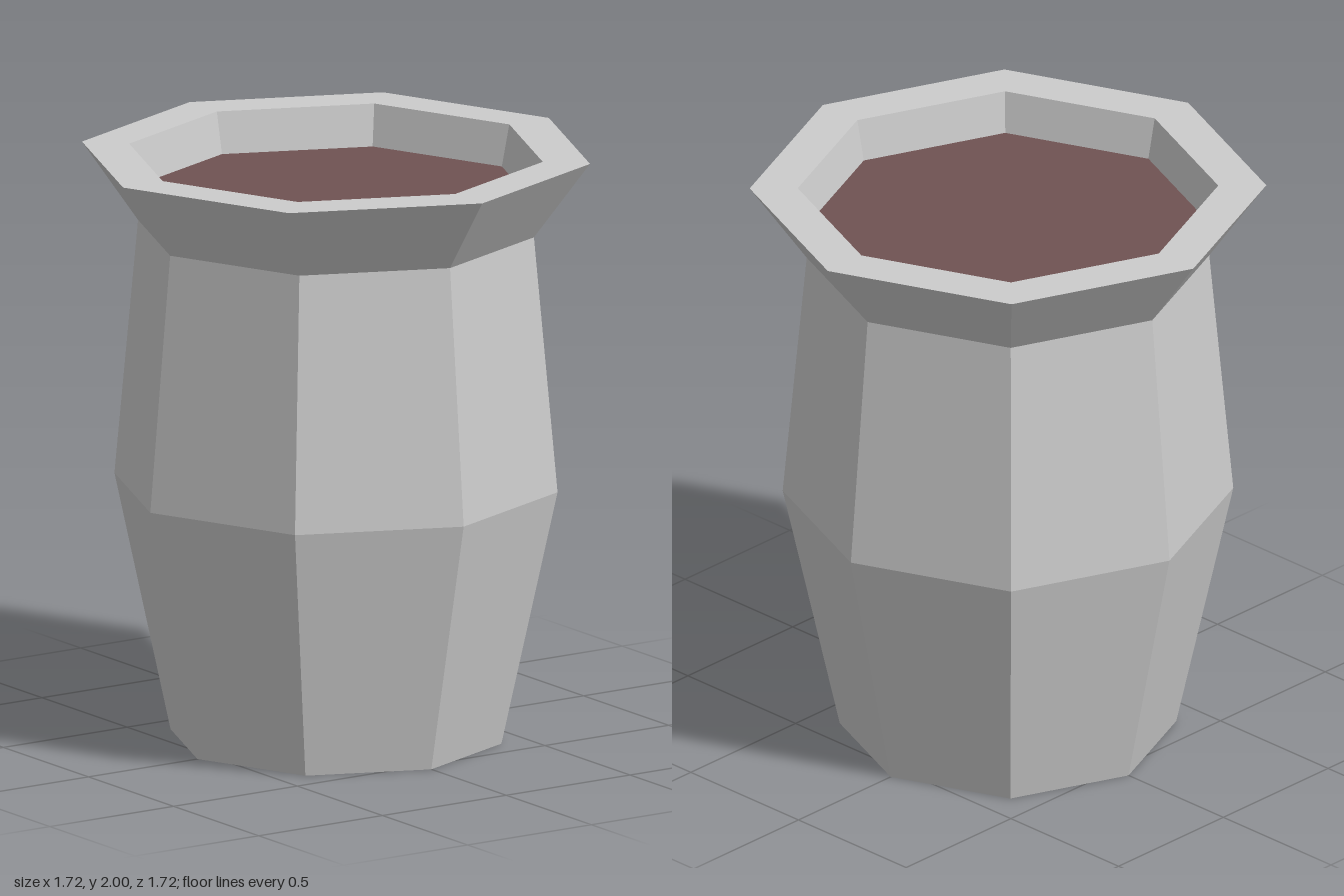
import * as THREE from 'three';

const SIDES = 8;

export function createModel() {
  const model = new THREE.Group();
  const clay = new THREE.MeshStandardMaterial({ color: 0xcccccc, flatShading: true });
  const dark = new THREE.MeshStandardMaterial({ color: 0x705353, flatShading: true });

  const add = (name, geometry, material) => {
    const mesh = new THREE.Mesh(geometry, material);
    mesh.name = name;
    model.add(mesh);
    return mesh;
  };
  const lathe = (profile) =>
    new THREE.LatheGeometry(profile.map(([r, y]) => new THREE.Vector2(r, y)), SIDES);

  // Closed base and bulging eight-sided wall
  add('body', lathe([[0, 0], [0.56, 0], [0.75, 0.87], [0.67, 1.74]]), clay);

  // Flared collar, flat lip and inner wall down to the contents
  add('rim', lathe([[0.67, 1.74], [0.86, 2], [0.7, 2], [0.67, 1.86]]), clay);

  // Flat surface of the contents
  const contents = add('contents', new THREE.CircleGeometry(0.67, SIDES), dark);
  contents.rotation.x = -Math.PI / 2;
  contents.position.y = 1.86;

  return model;
}
